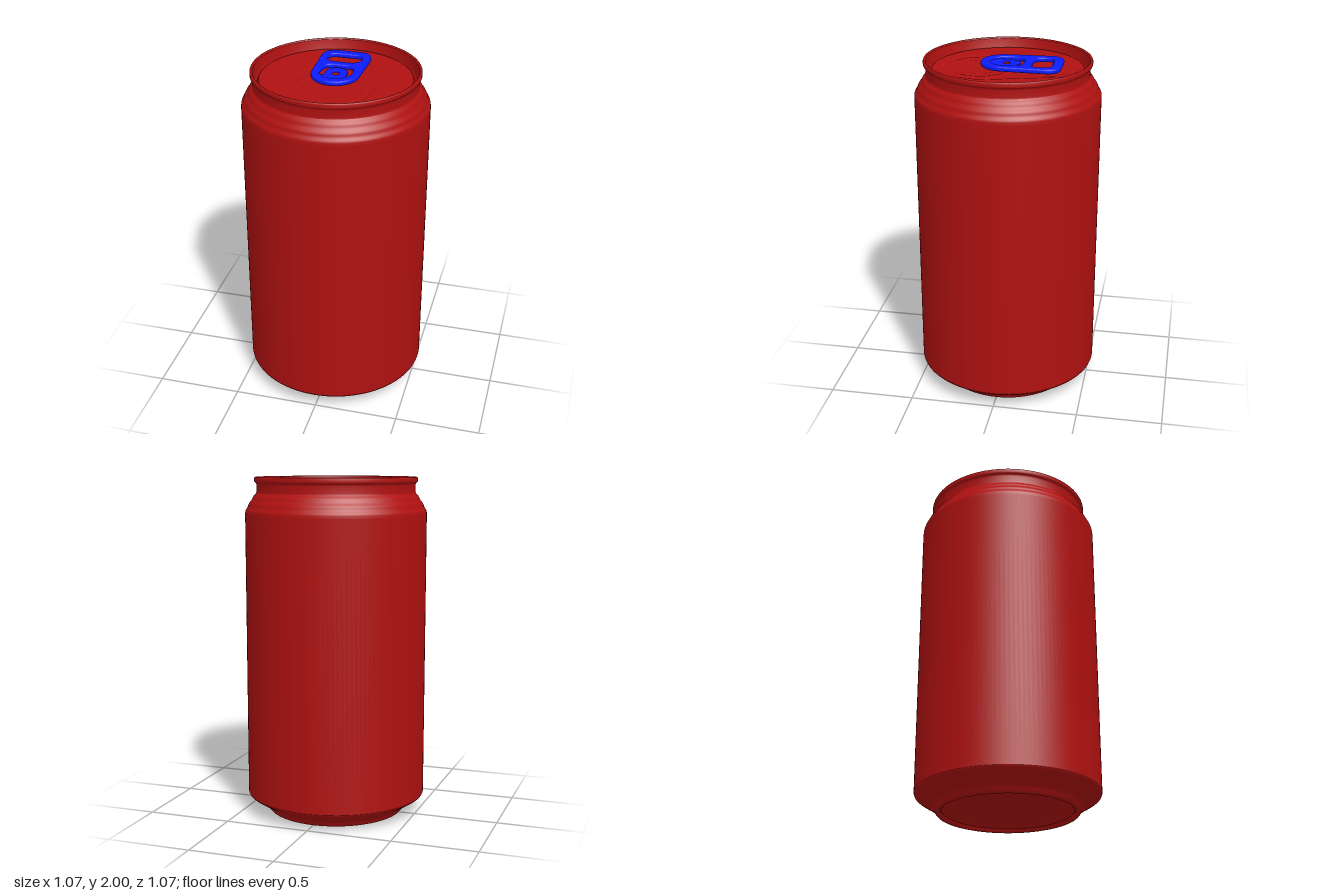
import * as THREE from 'three';

const red = new THREE.MeshStandardMaterial({ color: 0xb01111 });
const blue = new THREE.MeshStandardMaterial({ color: 0x0d1cff });
const PANEL_Y = 1.945;

// Surface of revolution from [radius, height] pairs, bottom outside to top inside
function turned(name, pairs) {
  const points = pairs.map(([r, y]) => new THREE.Vector2(r, y));
  const mesh = new THREE.Mesh(new THREE.LatheGeometry(points, 128), red);
  mesh.name = name;
  return mesh;
}

// Distance to a teardrop: circle r1 at z1 joined by tangents to circle r2 lying h further back
function teardrop(x, z, z1, r1, r2, h) {
  const px = Math.abs(x), py = z1 - z;
  const b = (r1 - r2) / h, a = Math.sqrt(1 - b * b);
  const k = -b * px + a * py;
  if (k < 0) return Math.hypot(px, py) - r1;
  if (k > a * h) return Math.hypot(px, py - h) - r2;
  return a * px + b * py - r1;
}

const bead = (d, width) => Math.exp(-((d / width) ** 2));

// Lid panel with pressed teardrop, pouring mouth bead and finger well
function lidPanel() {
  const geo = new THREE.RingGeometry(0.0005, 0.43, 128, 72);
  geo.rotateX(-Math.PI / 2);
  const pos = geo.attributes.position;
  for (let i = 0; i < pos.count; i++) {
    const x = pos.getX(i), z = pos.getZ(i);
    const recess = teardrop(x, z, 0.13, 0.245, 0.14, 0.385);
    const mouth = Math.hypot(x / 1.05, z - 0.155) - 0.185;
    const well = Math.hypot(x / 1.2, z + 0.25) - 0.09;
    let y = PANEL_Y - 0.006 * THREE.MathUtils.smoothstep(-recess, -0.012, 0.02);
    y += 0.005 * bead(mouth, 0.014) + 0.003 * bead(mouth + 0.055, 0.012);
    y -= 0.008 * THREE.MathUtils.smoothstep(-well, -0.015, 0.03);
    pos.setY(i, y);
  }
  geo.computeVertexNormals();
  const mesh = new THREE.Mesh(geo, red);
  mesh.name = 'lidPanel';
  return mesh;
}

// Flat plate lying in the xz plane; shape y points to the back
function plate(name, shape, bottom, thickness, bevel) {
  const geo = new THREE.ExtrudeGeometry(shape, {
    depth: thickness - 2 * bevel, bevelThickness: bevel, bevelSize: bevel,
    bevelOffset: -bevel, bevelSegments: 4, curveSegments: 20,
  });
  geo.rotateX(-Math.PI / 2);
  geo.translate(0, bottom + bevel, 0);
  const mesh = new THREE.Mesh(geo, blue);
  mesh.name = name;
  return mesh;
}

function pullTab() {
  const tab = new THREE.Group();
  tab.name = 'pullTab';

  // Frame outline
  const frame = new THREE.Shape();
  frame.moveTo(0, -0.155);
  frame.bezierCurveTo(0.075, -0.155, 0.135, -0.09, 0.136, -0.02);
  frame.lineTo(0.144, 0.22);
  frame.bezierCurveTo(0.144, 0.28, 0.12, 0.31, 0.065, 0.31);
  frame.lineTo(-0.065, 0.31);
  frame.bezierCurveTo(-0.12, 0.31, -0.144, 0.28, -0.144, 0.22);
  frame.lineTo(-0.136, -0.02);
  frame.bezierCurveTo(-0.135, -0.09, -0.075, -0.155, 0, -0.155);

  // Finger hole
  const finger = new THREE.Path();
  finger.moveTo(-0.045, 0.14);
  finger.lineTo(0.045, 0.14);
  finger.bezierCurveTo(0.08, 0.14, 0.1, 0.17, 0.1, 0.2);
  finger.bezierCurveTo(0.1, 0.24, 0.085, 0.255, 0.05, 0.255);
  finger.lineTo(-0.05, 0.255);
  finger.bezierCurveTo(-0.085, 0.255, -0.1, 0.24, -0.1, 0.2);
  finger.bezierCurveTo(-0.1, 0.17, -0.08, 0.14, -0.045, 0.14);

  // Opening around the rivet tongue
  const opening = new THREE.Path();
  opening.moveTo(0, -0.1);
  opening.bezierCurveTo(0.05, -0.1, 0.092, -0.06, 0.092, 0);
  opening.bezierCurveTo(0.092, 0.06, 0.08, 0.092, 0.04, 0.092);
  opening.lineTo(-0.04, 0.092);
  opening.bezierCurveTo(-0.08, 0.092, -0.092, 0.06, -0.092, 0);
  opening.bezierCurveTo(-0.092, -0.06, -0.05, -0.1, 0, -0.1);
  frame.holes.push(finger, opening);
  tab.add(plate('tabFrame', frame, 1.957, 0.028, 0.009));

  // Thin tongue, joined to the front of the frame
  const tongue = new THREE.Shape();
  tongue.moveTo(0.063, 0.012);
  tongue.absarc(0, 0.012, 0.063, 0, Math.PI, false);
  tongue.lineTo(-0.063, -0.04);
  tongue.lineTo(-0.095, -0.04);
  tongue.quadraticCurveTo(-0.07, -0.115, 0, -0.115);
  tongue.quadraticCurveTo(0.07, -0.115, 0.095, -0.04);
  tongue.lineTo(0.063, -0.04);
  tongue.closePath();
  const rivetHole = new THREE.Path();
  rivetHole.absarc(0, -0.008, 0.021, 0, Math.PI * 2, true);
  tongue.holes.push(rivetHole);
  tab.add(plate('tabTongue', tongue, 1.962, 0.012, 0.003));
  return tab;
}

export function createModel() {
  const can = new THREE.Group();
  can.name = 'drinkCan';

  // Domed underside
  const dome = [];
  for (let i = 0; i <= 16; i++) {
    const t = i / 16;
    dome.push([0.375 * t, 0.02 + 0.09 * (1 - t * t)]);
  }
  can.add(turned('bottomDome', dome));

  // Standing ring and lower taper
  can.add(turned('standingRing', [
    [0.375, 0.02], [0.38, 0.007], [0.388, 0.001], [0.395, 0], [0.404, 0.003],
    [0.412, 0.012], [0.418, 0.024], [0.425, 0.034], [0.438, 0.045],
  ]));
  can.add(turned('lowerTaper', [[0.438, 0.045], [0.48, 0.072], [0.523, 0.099], [0.53, 0.105], [0.533, 0.113]]));
  can.add(turned('body', [[0.533, 0.113], [0.533, 1.785]]));

  // Shoulder with three shallow ridges
  const shoulder = [];
  for (let i = 0; i <= 48; i++) {
    const t = i / 48;
    const ridge = 0.003 * Math.sin(Math.PI * 3 * t) ** 2;
    shoulder.push([0.533 - 0.066 * t ** 1.35 + ridge, 1.785 + 0.122 * t]);
  }
  can.add(turned('shoulder', shoulder));

  // Neck, rolled rim and countersunk groove
  can.add(turned('neck', [[0.467, 1.907], [0.465, 1.915], [0.465, 1.955], [0.468, 1.964], [0.477, 1.972]]));
  can.add(turned('rim', [
    [0.477, 1.972], [0.479, 1.978], [0.479, 1.992], [0.476, 1.998],
    [0.471, 2], [0.466, 1.998], [0.463, 1.992],
  ]));
  can.add(turned('innerWall', [[0.463, 1.992], [0.459, 1.965], [0.452, 1.935]]));
  can.add(turned('groove', [
    [0.452, 1.935], [0.449, 1.926], [0.444, 1.922], [0.439, 1.925],
    [0.436, 1.935], [0.434, 1.942], [0.43, PANEL_Y],
  ]));

  can.add(lidPanel());
  can.add(pullTab());

  // Rivet holding the tab
  const rivet = new THREE.Mesh(new THREE.CylinderGeometry(0.02, 0.035, 0.034, 32), red);
  rivet.position.set(0, 1.953, 0.008);
  rivet.name = 'rivet';
  can.add(rivet);
  return can;
}
